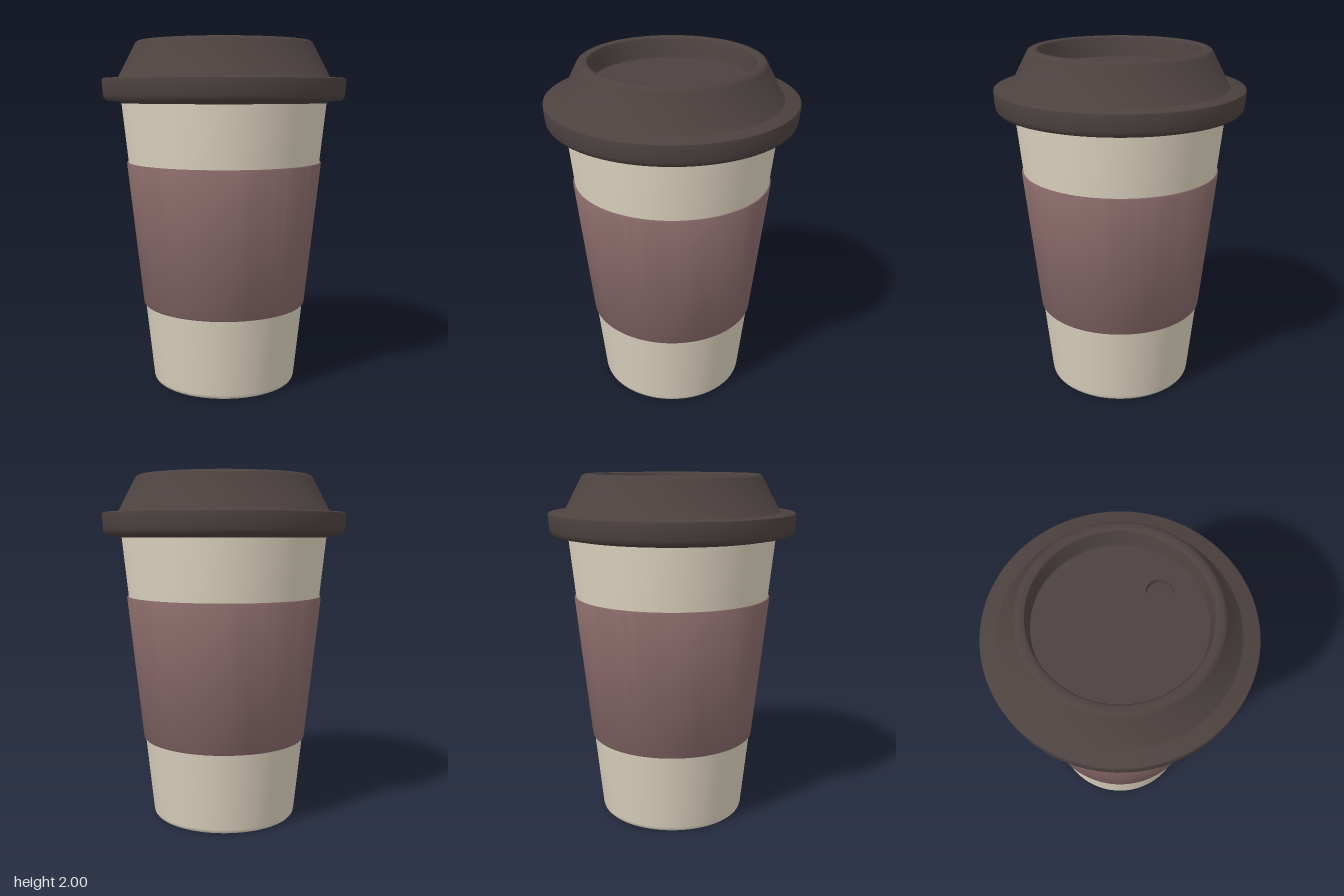
import * as THREE from 'three';
import { toCreasedNormals } from 'three/addons/utils/BufferGeometryUtils.js';

const SEGMENTS = 96;
const material = (color) => new THREE.MeshStandardMaterial({ color, side: THREE.DoubleSide });

// Revolve a profile of [radius, y] pairs, listed from the bottom outside to the top
function turned(name, profile, mat) {
  const points = profile.map(([r, y]) => new THREE.Vector2(r, y));
  const mesh = new THREE.Mesh(toCreasedNormals(new THREE.LatheGeometry(points, SEGMENTS), 0.6), mat);
  mesh.name = name;
  return mesh;
}

export function createModel() {
  const group = new THREE.Group();
  group.name = 'travelCup';
  const cupMat = material(0xe0d6c2);
  const sleeveMat = material(0x8a6a6a);
  const lidMat = material(0x4c4240);

  // Tapered cup with a softly rounded foot
  group.add(turned('cup', [
    [0, 0], [0.405, 0], [0.414, 0.003], [0.42, 0.01], [0.424, 0.025], [0.597, 1.68],
  ], cupMat));

  // Grip sleeve: a thin closed ring following the taper
  group.add(turned('sleeve', [
    [0.46, 0.47], [0.476, 0.47], [0.481, 0.476], [0.568, 1.302], [0.565, 1.31], [0.55, 1.31],
  ], sleeveMat));

  // Lid: overhanging rim, sloped shoulder and the wall of the sunken top
  const floorY = 1.88;
  const floorR = 0.44;
  const lid = new THREE.Group();
  lid.name = 'lid';
  lid.add(turned('lidShell', [
    [0.58, 1.65], [0.6, 1.65], [0.612, 1.66], [0.665, 1.662], [0.682, 1.666], [0.693, 1.678], [0.698, 1.695],
    [0.704, 1.775], [0.702, 1.785], [0.694, 1.79], [0.62, 1.79], [0.611, 1.796],
    [0.515, 1.98], [0.507, 1.992], [0.493, 2], [0.466, 2], [0.456, 1.996], [0.45, 1.985],
    [0.445, floorY + 0.012], [floorR, floorY],
  ], lidMat));

  // Sunken lid floor with the drinking hole cut out
  const hole = { x: 0.265, z: -0.01, r: 0.07, depth: 0.03 };
  const disc = new THREE.Shape().absarc(0, 0, floorR, 0, Math.PI * 2);
  disc.holes.push(new THREE.Path().absarc(hole.x, -hole.z, hole.r, 0, Math.PI * 2, true));
  const floor = new THREE.Mesh(new THREE.ShapeGeometry(disc, 48).rotateX(-Math.PI / 2), lidMat);
  floor.name = 'lidFloor';
  floor.position.y = floorY;
  lid.add(floor);

  // Shallow well below the drinking hole
  const well = turned('drinkingHole', [
    [hole.r, 0], [hole.r - 0.003, -hole.depth], [0, -hole.depth],
  ], lidMat);
  well.position.set(hole.x, floorY, hole.z);
  lid.add(well);

  group.add(lid);
  return group;
}
